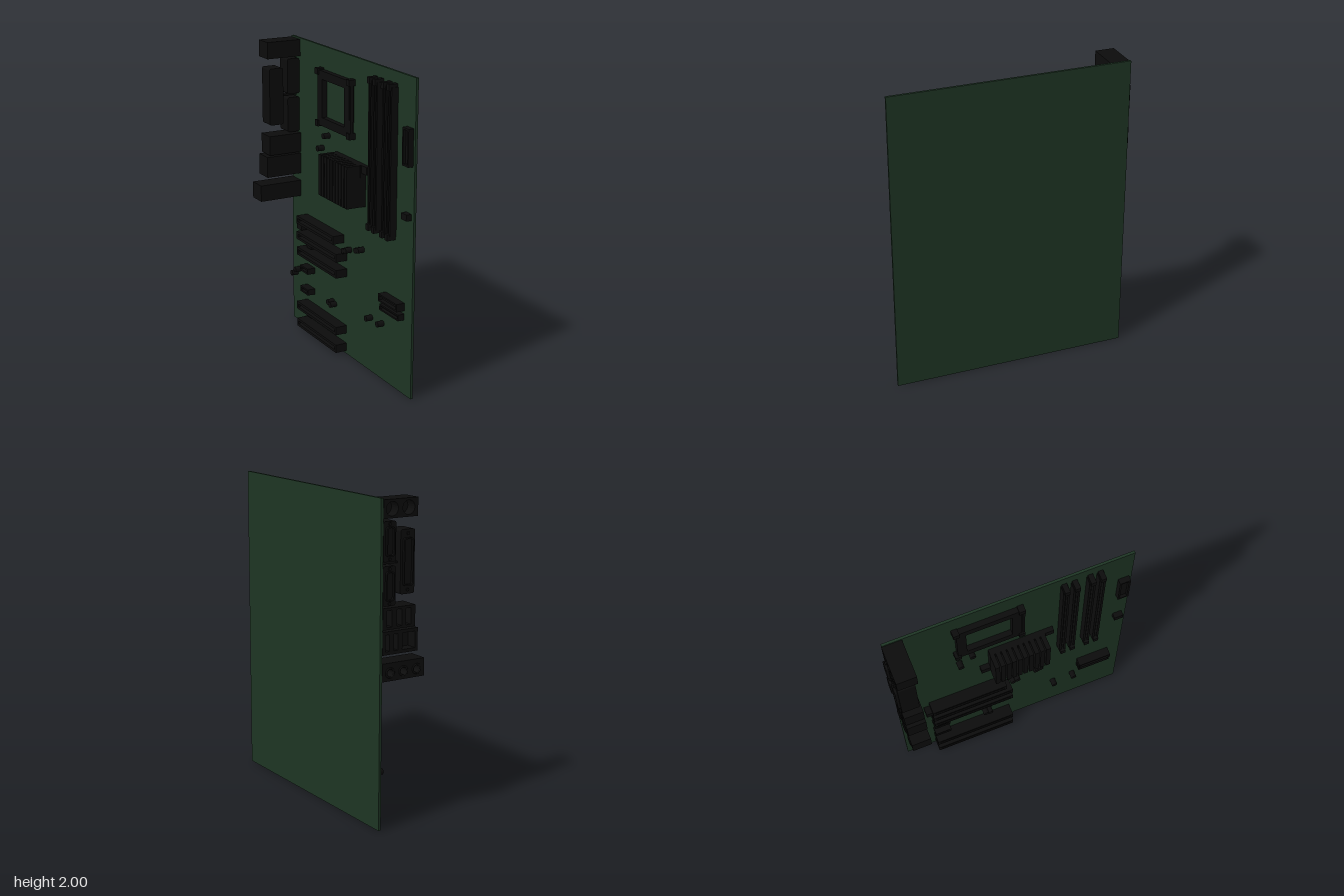
import * as THREE from 'three';

const green = new THREE.MeshStandardMaterial({ color: 0x1e3524 });
const black = new THREE.MeshStandardMaterial({ color: 0x0c0c0c });

// Board coordinates: u runs along the depth, v runs up, w is height off the board.
function rect(Type, a0, b0, a1, b1, r = 0) {
  const s = new Type();
  if (!r) {
    s.moveTo(a0, b0).lineTo(a1, b0).lineTo(a1, b1).lineTo(a0, b1).closePath();
    return s;
  }
  s.moveTo(a0 + r, b0).lineTo(a1 - r, b0).quadraticCurveTo(a1, b0, a1, b0 + r);
  s.lineTo(a1, b1 - r).quadraticCurveTo(a1, b1, a1 - r, b1);
  s.lineTo(a0 + r, b1).quadraticCurveTo(a0, b1, a0, b1 - r);
  s.lineTo(a0, b0 + r).quadraticCurveTo(a0, b0, a0 + r, b0);
  return s;
}

function circle(a, b, r) {
  return new THREE.Path().absarc(a, b, r, 0, Math.PI * 2, true);
}

export function createModel() {
  const model = new THREE.Group();
  const parts = new THREE.Group();
  parts.name = 'components';
  parts.rotation.y = -Math.PI / 2;
  parts.position.x = 0.14;
  model.add(parts);

  function add(name, geo, parent = parts, mat = black) {
    const m = new THREE.Mesh(geo, mat);
    m.name = name;
    parent.add(m);
    return m;
  }
  function box(name, u0, u1, v0, v1, w0, w1, parent) {
    const m = add(name, new THREE.BoxGeometry(u1 - u0, v1 - v0, w1 - w0), parent);
    m.position.set((u0 + u1) / 2, (v0 + v1) / 2, (w0 + w1) / 2);
    return m;
  }
  function group(name) {
    const g = new THREE.Group();
    g.name = name;
    parts.add(g);
    return g;
  }
  // Open-topped housing with a floor, rising from the board
  function tray(name, u0, u1, v0, v1, h, wall) {
    const g = group(name);
    const s = rect(THREE.Shape, u0, v0, u1, v1);
    s.holes.push(rect(THREE.Path, u0 + wall, v0 + wall, u1 - wall, v1 - wall));
    add(name + 'Wall', new THREE.ExtrudeGeometry(s, { depth: h, bevelEnabled: false }), g);
    box(name + 'Floor', u0 + wall, u1 - wall, v0 + wall, v1 - wall, 0, h * 0.5, g);
    return g;
  }
  // Outline in (v, w) extruded along u
  function along(name, shape, u0, u1, parent) {
    const geo = new THREE.ExtrudeGeometry(shape, { depth: u1 - u0, bevelEnabled: false, curveSegments: 10 });
    geo.applyMatrix4(new THREE.Matrix4().makeBasis(
      new THREE.Vector3(0, 1, 0), new THREE.Vector3(0, 0, 1), new THREE.Vector3(1, 0, 0)));
    geo.translate(u0, 0, 0);
    return add(name, geo, parent);
  }
  // Rear connector block with recessed openings in its outer face
  function port(name, v0, v1, h, holes, uBack = -0.645) {
    const g = group(name);
    const s = rect(THREE.Shape, v0, 0, v1, h);
    s.holes.push(...holes);
    along(name + 'Shell', s, -0.77, -0.7, g);
    box(name + 'Body', -0.7, uBack, v0, v1, 0, h, g);
    return g;
  }

  // Circuit board
  const board = add('circuitBoard', new THREE.BoxGeometry(0.016, 2, 1.555), model, green);
  board.position.set(0.148, 1, 0.01);

  // Rear connectors
  port('keyboardMousePorts', 1.88, 1.99, 0.24, [circle(1.935, 0.06, 0.042), circle(1.935, 0.175, 0.042)]);
  port('usbPorts', 1.23, 1.36, 0.23,
    [0.03, 0.1, 0.165].map(w => rect(THREE.Path, 1.245, w, 1.345, w + 0.035)));
  port('networkPort', 1.08, 1.22, 0.25, [
    rect(THREE.Path, 1.1, 0.14, 1.2, 0.23),
    rect(THREE.Path, 1.1, 0.08, 1.2, 0.11), rect(THREE.Path, 1.1, 0.02, 1.2, 0.05)]);
  const audioW = [0.055, 0.15, 0.245];
  const audio = port('audioJacks', 0.92, 1.03, 0.3, audioW.map(w => circle(0.97, w, 0.022)));
  for (const w of audioW) {
    const ring = add('jackRing', new THREE.TorusGeometry(0.027, 0.006, 8, 20), audio);
    ring.rotation.y = Math.PI / 2;
    ring.position.set(-0.77, 0.97, w);
  }

  // Long and short rounded connectors with flange, hollow shell and pin block
  function dPort(name, v0, v1, w0, w1) {
    const g = group(name);
    along(name + 'Flange', rect(THREE.Shape, v0, w0, v1, w1, 0.015), -0.77, -0.66, g);
    const inset = (v1 - v0) * 0.13;
    const s = rect(THREE.Shape, v0 + inset, w0 + 0.015, v1 - inset, w1 - 0.015, 0.02);
    s.holes.push(rect(THREE.Path, v0 + inset + 0.008, w0 + 0.023, v1 - inset - 0.008, w1 - 0.023, 0.015));
    along(name + 'Shell', s, -0.785, -0.77, g);
    for (const v of [v0 + inset * 0.5, v1 - inset * 0.5]) {
      const screw = add('screwPost', new THREE.CylinderGeometry(0.01, 0.01, 0.012, 6), g);
      screw.rotation.z = Math.PI / 2;
      screw.position.set(-0.772, v, (w0 + w1) / 2);
    }
  }
  dPort('parallelPort', 1.43, 1.81, 0.12, 0.22);
  dPort('serialPort', 1.37, 1.605, 0, 0.088);
  dPort('displayPort', 1.63, 1.865, 0, 0.088);
  box('portBracket', -0.74, -0.7, 1.612, 1.624, 0, 0.13);

  // Expansion slots
  for (const v of [0.02, 0.145, 0.54, 0.65, 0.76])
    tray('expansionSlot', -0.56, v > 0.7 ? -0.05 : -0.01, v, v + 0.055, 0.08, 0.017);
  for (const v of [0.27, 0.42]) tray('shortSlot', -0.56, -0.45, v, v + 0.04, 0.055, 0.012);
  box('slotLatch', -0.6, -0.54, 0.71, 0.76, 0, 0.055);

  // Memory slots with end latches
  for (const u of [0.345, 0.41, 0.508, 0.572]) {
    tray('memorySlot', u - 0.021, u + 0.021, 0.99, 1.91, 0.045, 0.014);
    for (const v of [0.97, 1.89]) box('memoryLatch', u - 0.016, u + 0.016, v, v + 0.04, 0, 0.06);
  }

  // Processor socket: open frame, corner lugs and lever
  const socket = group('processorSocket');
  const frame = rect(THREE.Shape, -0.34, 1.49, 0.07, 1.85, 0.02);
  frame.holes.push(rect(THREE.Path, -0.28, 1.545, 0.01, 1.795));
  add('socketFrame', new THREE.ExtrudeGeometry(frame, { depth: 0.035, bevelEnabled: false }), socket);
  for (const u of [-0.36, 0.05]) for (const v of [1.48, 1.82])
    box('cornerLug', u, u + 0.04, v, v + 0.04, 0, 0.045, socket);
  box('socketLever', 0.075, 0.09, 1.52, 1.82, 0.015, 0.035, socket);

  // Finned chip cooler
  const cooler = group('chipCooler');
  box('coolerBase', -0.14, 0.225, 1.08, 1.35, 0, 0.04, cooler);
  for (let i = 0; i < 10; i++) {
    const u = -0.142 + i * 0.0372;
    box('coolerFin', u, u + 0.029, 1.08, 1.35, 0.04, 0.134, cooler);
  }
  box('coolerClip', -0.2, -0.14, 1.08, 1.13, 0, 0.035, cooler);
  box('coolerClip', 0.225, 0.285, 1.3, 1.35, 0, 0.03, cooler);

  // Front-edge headers
  tray('powerConnector', 0.7, 0.77, 1.47, 1.7, 0.035, 0.012);
  tray('driveConnector', 0.48, 0.7, 0.49, 0.53, 0.045, 0.01);
  tray('driveConnector', 0.48, 0.7, 0.55, 0.6, 0.055, 0.01);
  box('fanHeader', 0.7, 0.76, 1.14, 1.18, 0, 0.035);

  // Small capacitors and chips scattered over the board: [u, v]
  const caps = [[0.31, 0.37], [0.45, 0.38], [0.17, 0.78], [0.2, 0.79], [0.04, 0.74], [0.01, 0.73],
    [-0.33, 1.33], [-0.25, 1.43], [-0.19, 0.31], [-0.16, 0.3], [-0.71, 0.35], [-0.66, 0.39]];
  for (const [u, v] of caps) {
    const c = add('capacitor', new THREE.CylinderGeometry(0.019, 0.019, 0.045, 12));
    c.rotation.x = Math.PI / 2;
    c.position.set(u, v, 0.0225);
  }
  for (const v of [0.115, 0.615]) box('smallChip', -0.5, -0.44, v - 0.015, v + 0.015, 0, 0.035);

  return model;
}
